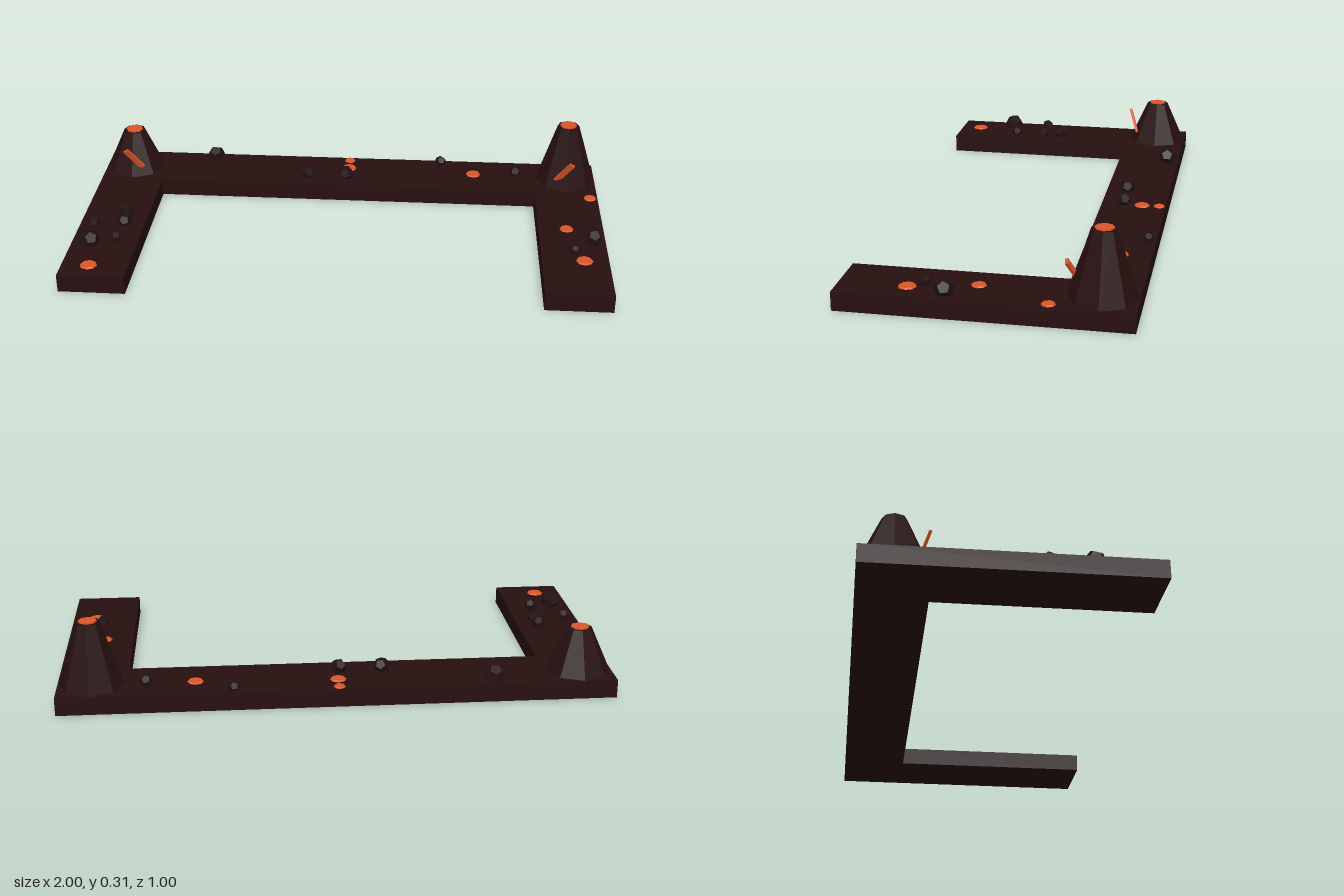
import * as THREE from 'three';

export function createModel() {
  const model = new THREE.Group();
  const material = (name, color) => {
    const m = new THREE.MeshStandardMaterial({ color, flatShading: true });
    m.name = name;
    return m;
  };
  const basalt = material('dark basalt', 0x270f0f);
  const stone = material('charred stone', 0x231113);
  const lava = material('glowing lava', 0xdb5529);
  const top = 0.067;

  const add = (name, geometry, mat, x, y, z, parent = model) => {
    const mesh = new THREE.Mesh(geometry, mat);
    mesh.name = name;
    mesh.position.set(x, y, z);
    parent.add(mesh);
    return mesh;
  };

  // U-shaped ground slab, drawn with shape y = -z
  const outline = [[-1, -0.5], [-0.753, -0.5], [-0.753, 0.255], [0.753, 0.255],
    [0.753, -0.5], [1, -0.5], [1, 0.5], [-1, 0.5]];
  const slab = new THREE.ExtrudeGeometry(
    new THREE.Shape(outline.map(([x, y]) => new THREE.Vector2(x, y))),
    { depth: top, bevelEnabled: false });
  slab.rotateX(-Math.PI / 2);
  add('groundSlab', slab, basalt, 0, 0, 0);

  // Corner volcanoes with a glowing crater and a slanted lava streak
  for (const [side, height] of [[1, 0.238], [-1, 0.163]]) {
    const volcano = new THREE.Group();
    volcano.name = side > 0 ? 'leftVolcano' : 'rightVolcano';
    volcano.position.set(side * 0.88, top, -0.38);
    model.add(volcano);
    add('volcanoCone', new THREE.CylinderGeometry(0.043, 0.117, height, 8),
      basalt, 0, height / 2, 0, volcano);
    add('craterLava', new THREE.CylinderGeometry(0.033, 0.033, 0.008, 8),
      lava, 0, height, 0, volcano);
    const streak = add('lavaStreak', new THREE.BoxGeometry(0.022, 0.11, 0.01),
      lava, side * -0.012, 0.078, 0.101, volcano);
    const direction = new THREE.Vector3(side * 0.055, 0.085, 0.035).normalize();
    streak.quaternion.setFromUnitVectors(new THREE.Vector3(0, 1, 0), direction);
  }

  // Flat lava pools: x, z, radius
  const pools = [[0, -0.475, 0.022], [0, -0.41, 0.03], [0.51, -0.39, 0.03], [0.97, -0.215, 0.025],
    [0.86, 0.035, 0.027], [0.91, 0.265, 0.032], [-0.9, 0.42, 0.032]];
  for (const [x, z, r] of pools) {
    add('lavaPool', new THREE.CylinderGeometry(r * 0.85, r, 0.005, 8), lava, x, top + 0.0025, z);
  }

  // Scattered boulders: x, z, radius
  const rocks = [[-0.56, -0.455, 0.036], [-0.165, -0.335, 0.03], [-0.008, -0.335, 0.03],
    [0.375, -0.47, 0.023], [0.68, -0.405, 0.026], [-0.835, 0.04, 0.027], [-0.945, 0.12, 0.024],
    [-0.83, 0.11, 0.029], [-0.93, 0.27, 0.037], [-0.84, 0.24, 0.024], [0.95, 0.13, 0.035],
    [0.88, 0.212, 0.021]];
  rocks.forEach(([x, z, r], i) => {
    const rock = add('boulder', new THREE.DodecahedronGeometry(r), stone, x, top + r * 0.55, z);
    rock.rotation.set(i * 0.7, i * 1.3, i * 0.4);
  });
  return model;
}
